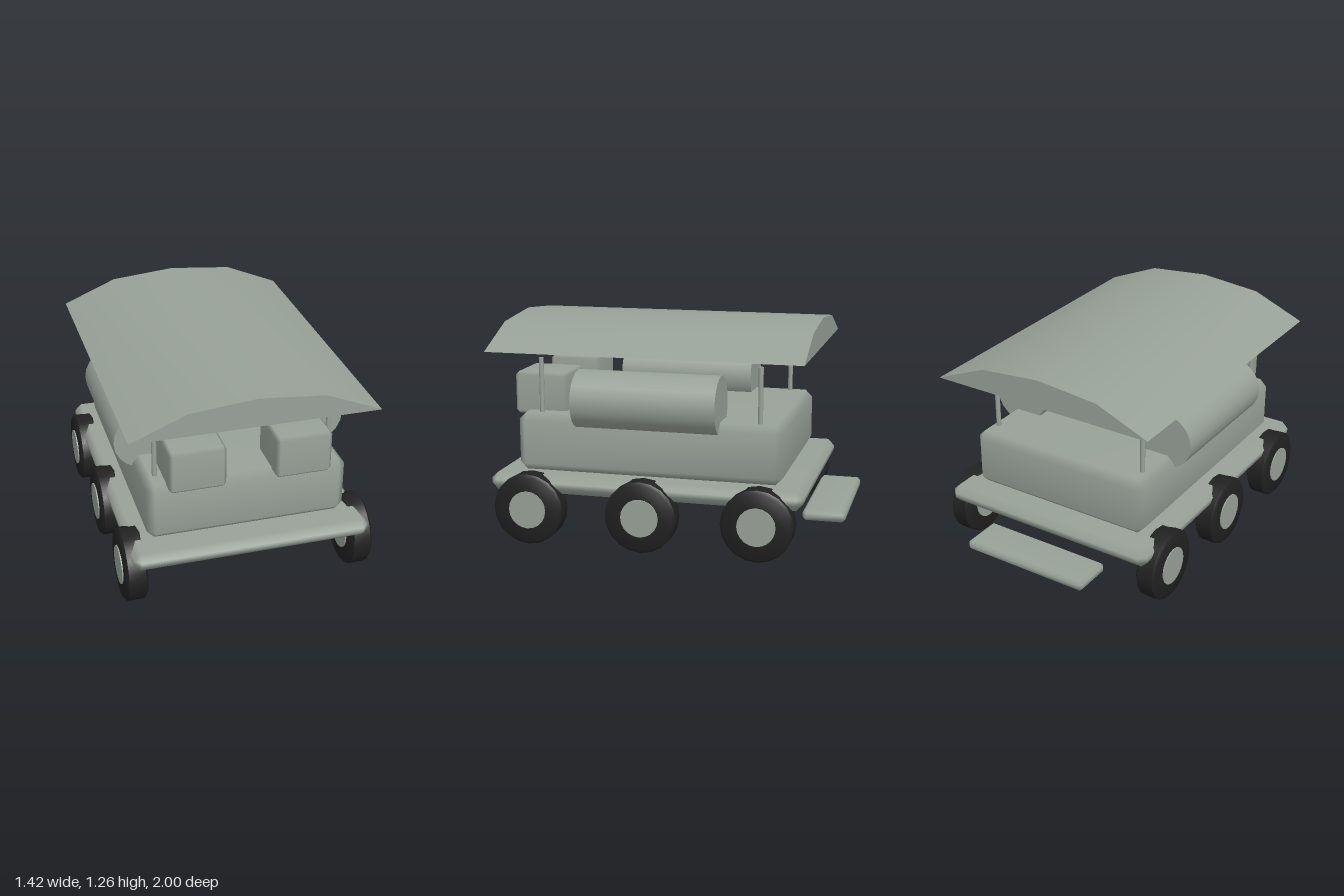
import * as THREE from 'three';
import { mergeVertices, toCreasedNormals } from 'three/addons/utils/BufferGeometryUtils.js';
import { ConvexGeometry } from 'three/addons/geometries/ConvexGeometry.js';

const greyGreen = new THREE.MeshStandardMaterial({ color: 0x98a198 });
greyGreen.name = 'grey green paint';
const rubber = new THREE.MeshStandardMaterial({ color: 0x212121 });
rubber.name = 'black rubber';

// Box with every edge cut by one chamfer and softly shaded
function chamferBox(w, h, d, c) {
  const points = [];
  for (const x of [-w / 2, w / 2])
    for (const y of [-h / 2, h / 2])
      for (const z of [-d / 2, d / 2]) {
        const ix = x - Math.sign(x) * c, iy = y - Math.sign(y) * c, iz = z - Math.sign(z) * c;
        points.push(new THREE.Vector3(x, iy, iz), new THREE.Vector3(ix, y, iz), new THREE.Vector3(ix, iy, z));
      }
  const raw = new ConvexGeometry(points);
  raw.deleteAttribute('normal');
  const geometry = mergeVertices(raw, 1e-4);
  geometry.computeVertexNormals();
  return geometry;
}

export function createModel() {
  const model = new THREE.Group();
  model.name = 'sixWheeledCart';

  const add = (name, geometry, material, x, y, z, parent = model) => {
    const mesh = new THREE.Mesh(geometry, material);
    mesh.name = name;
    mesh.position.set(x, y, z);
    parent.add(mesh);
    return mesh;
  };

  // Chassis, body and rear step
  add('deck', chamferBox(1.33, 0.105, 1.8, 0.038), greyGreen, 0, 0.343, 0.1);
  add('body', chamferBox(1.12, 0.335, 1.535, 0.042), greyGreen, 0, 0.563, 0.098);
  add('rearStep', chamferBox(0.78, 0.062, 0.24, 0.018), greyGreen, 0, 0.195, -0.88);

  // Arched canopy with a flat underside
  const arch = new THREE.Shape([
    [-0.68, 1.097], [0.68, 1.097], [0.37, 1.226], [0, 1.26], [-0.37, 1.226],
  ].map(([x, y]) => new THREE.Vector2(x, y)));
  const canopy = toCreasedNormals(
    new THREE.ExtrudeGeometry(arch, { depth: 1.8, bevelEnabled: false }), 0.6);
  add('canopy', canopy, greyGreen, 0, 0, -0.8);

  // Tyre turned from a chamfered section, laid along x
  const tyre = toCreasedNormals(new THREE.LatheGeometry([
    [0.09, -0.06], [0.188, -0.06], [0.204, -0.047],
    [0.204, 0.047], [0.188, 0.06], [0.09, 0.06],
  ].map(([r, h]) => new THREE.Vector2(r, h)), 20), 0.75);
  tyre.rotateZ(Math.PI / 2);
  const hub = new THREE.CylinderGeometry(0.108, 0.108, 0.134, 20).rotateZ(Math.PI / 2);

  const seatBox = chamferBox(0.312, 0.243, 0.31, 0.018);
  const post = new THREE.CylinderGeometry(0.014, 0.014, 0.347, 12);
  const tank = new THREE.CylinderGeometry(0.167, 0.167, 0.825, 20).rotateX(Math.PI / 2);

  // Mirrored parts
  for (const [side, s] of [['left', 1], ['right', -1]]) {
    add(side + 'FrontBox', seatBox, greyGreen, s * 0.294, 0.827, 0.76);
    add(side + 'Tank', tank, greyGreen, s * 0.495, 0.822, 0.098);
    add(side + 'FrontPost', post, greyGreen, s * 0.49, 0.873, 0.735);
    add(side + 'RearPost', post, greyGreen, s * 0.49, 0.873, -0.535);

    for (const [place, z] of [['Front', 0.76], ['Middle', 0.1], ['Rear', -0.558]]) {
      const wheel = new THREE.Group();
      wheel.name = side + place + 'Wheel';
      wheel.position.set(s * 0.645, 0.205, z);
      add('tyre', tyre, rubber, 0, 0, 0, wheel);
      add('hub', hub, greyGreen, 0, 0, 0, wheel);
      model.add(wheel);
    }
  }
  return model;
}
